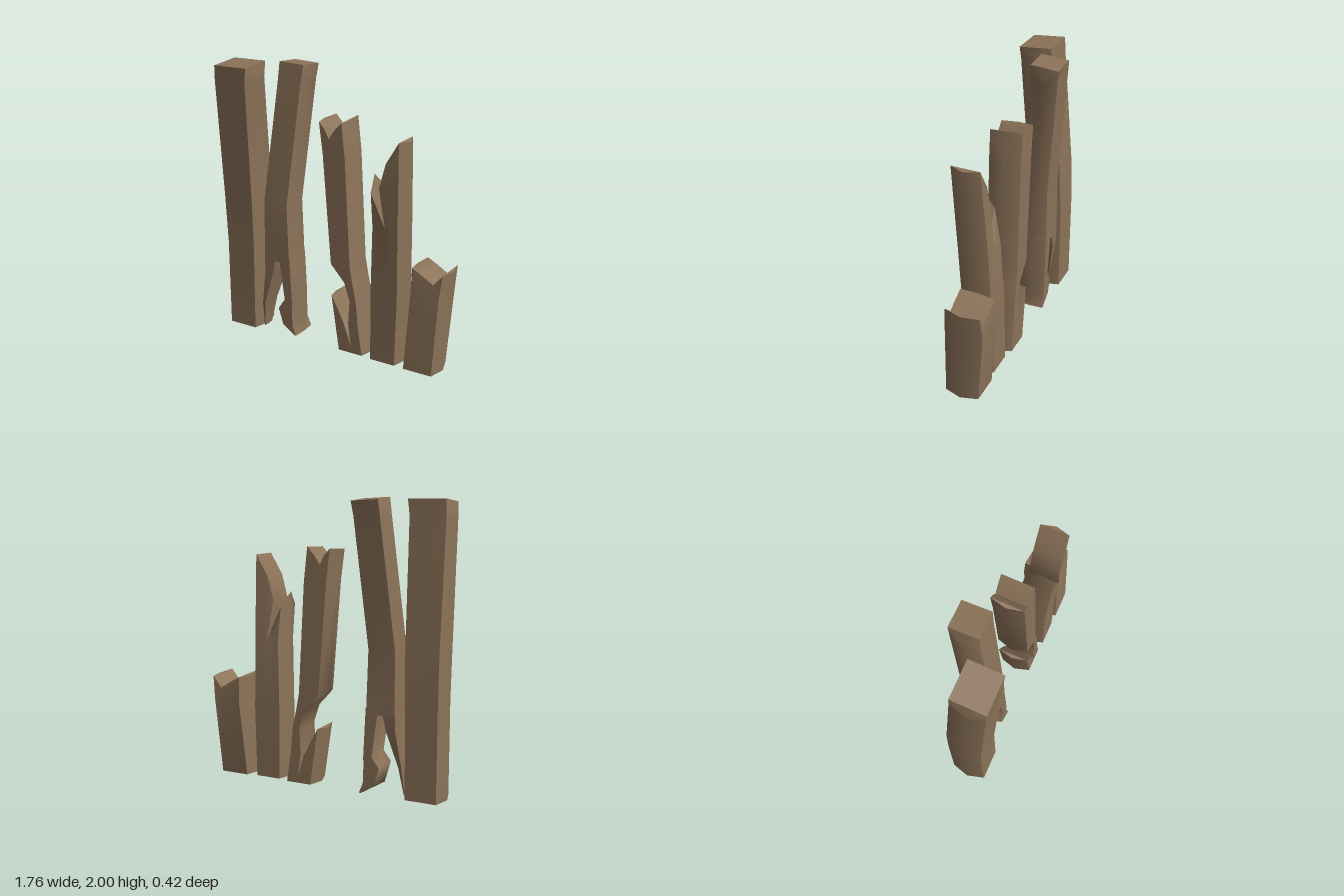
import * as THREE from 'three';
import { toCreasedNormals } from 'three/addons/utils/BufferGeometryUtils.js';

const wood = new THREE.MeshStandardMaterial({ color: 0x8c7359 });
wood.name = 'weathered wood';

// Lofts a bevelled post. rows: [y, xLeft, xRight, zFront, zBack] from bottom up.
// top: zFront, zBack, back rise and a profile of [x, y] from left edge to right edge.
function post(name, rows, top, bevel = 0.035) {
  const n = top.profile.length;
  const levels = rows.map(([y, xl, xr, zf, zb]) => {
    const c = Math.min(bevel, (xr - xl) * 0.25);
    const line = (z) => Array.from({ length: n }, (_, i) => {
      if (i === 0) return [xl, y, (zf + zb) / 2];
      if (i === n - 1) return [xr, y, (zf + zb) / 2];
      return [xl + c + (xr - xl - 2 * c) * (i - 1) / (n - 3), y, z];
    });
    return { front: line(zf), back: line(zb) };
  });
  const topLine = (z, rise) => top.profile.map(([x, y], i) =>
    i === 0 || i === n - 1 ? [x, y, (top.zf + top.zb) / 2] : [x, y + rise, z]);
  levels.push({ front: topLine(top.zf, 0), back: topLine(top.zb, top.rise || 0) });

  const out = [];
  const tri = (a, b, c) => out.push(...a, ...b, ...c);
  // long faces
  for (let r = 0; r < levels.length - 1; r++) {
    const lo = levels[r], hi = levels[r + 1];
    for (let i = 0; i < n - 1; i++) {
      tri(lo.front[i], lo.front[i + 1], hi.front[i]);
      tri(lo.front[i + 1], hi.front[i + 1], hi.front[i]);
      tri(lo.back[i + 1], lo.back[i], hi.back[i]);
      tri(lo.back[i + 1], hi.back[i], hi.back[i + 1]);
    }
  }
  // end grain at both ends
  const first = levels[0], last = levels[levels.length - 1];
  for (let i = 0; i < n - 1; i++) {
    if (i < n - 2) {
      tri(last.front[i], last.front[i + 1], last.back[i + 1]);
      tri(first.front[i + 1], first.front[i], first.back[i + 1]);
    }
    if (i > 0) {
      tri(last.front[i], last.back[i + 1], last.back[i]);
      tri(first.back[i + 1], first.front[i], first.back[i]);
    }
  }
  const g = new THREE.BufferGeometry();
  g.setAttribute('position', new THREE.Float32BufferAttribute(out, 3));
  const mesh = new THREE.Mesh(toCreasedNormals(g, 1.0), wood);
  mesh.name = name;
  return mesh;
}

export function createModel() {
  const fence = new THREE.Group();
  fence.name = 'brokenPalisade';

  // tall intact post leaning forward
  fence.add(post('tallPost', [
    [0, -0.88, -0.59, 0.13, -0.12],
    [0.65, -0.88, -0.583, 0.127, -0.12],
    [1.0, -0.88, -0.575, 0.145, -0.11],
    [1.88, -0.88, -0.56, 0.205, -0.03],
  ], { zf: 0.21, zb: -0.025, rise: 0.02,
    profile: [[-0.88, 1.9], [-0.84, 1.97], [-0.58, 1.97], [-0.56, 1.9]] }));

  // tall post leaning back, with a rotted, split foot
  const split = new THREE.Group();
  split.name = 'splitPost';
  split.add(post('splitPostTrunk', [
    [0.56, -0.58, -0.303, 0.09, -0.12],
    [1.0, -0.575, -0.315, 0.09, -0.115],
    [1.88, -0.495, -0.24, 0.0, -0.2],
  ], { zf: -0.01, zb: -0.21, rise: -0.015,
    profile: [[-0.49, 1.91], [-0.45, 2.0], [-0.26, 1.99], [-0.235, 1.9]] }));
  split.add(post('splitPostLeftSplinter', [
    [0, -0.59, -0.58, 0.06, -0.03],
    [0.2, -0.588, -0.545, 0.09, -0.07],
    [0.45, -0.582, -0.45, 0.09, -0.115],
  ], { zf: 0.09, zb: -0.12,
    profile: [[-0.58, 0.6], [-0.545, 0.6], [-0.45, 0.6], [-0.435, 0.6]] }));
  split.add(post('splitPostRightLeg', [
    [0, -0.31, -0.28, 0.09, -0.12],
    [0.07, -0.435, -0.282, 0.09, -0.12],
    [0.19, -0.47, -0.286, 0.09, -0.12],
    [0.26, -0.41, -0.289, 0.09, -0.12],
  ], { zf: 0.09, zb: -0.12,
    profile: [[-0.44, 0.6], [-0.425, 0.6], [-0.335, 0.6], [-0.304, 0.6]] }));
  fence.add(split);

  // middle post with a deep side notch and a stub below it
  const notched = new THREE.Group();
  notched.name = 'notchedPost';
  notched.add(post('notchedPostTrunk', [
    [0, 0.16, 0.31, 0.11, -0.12],
    [0.22, 0.13, 0.277, 0.11, -0.12],
    [0.4, 0.15, 0.25, 0.11, -0.12],
    [0.53, 0.1, 0.23, 0.11, -0.12],
    [0.65, -0.01, 0.21, 0.11, -0.12],
    [1.43, -0.072, 0.167, 0.11, -0.12],
  ], { zf: 0.11, zb: -0.12, rise: 0.01,
    profile: [[-0.09, 1.65], [-0.065, 1.65], [-0.02, 1.6], [0.01, 1.54],
      [0.05, 1.6], [0.105, 1.66], [0.165, 1.45]] }));
  notched.add(post('notchedPostStub', [
    [0, 0.055, 0.24, 0.11, -0.12],
  ], { zf: 0.11, zb: -0.12,
    profile: [[0.005, 0.4], [0.03, 0.41], [0.08, 0.32], [0.13, 0.22], [0.22, 0.15]] }));
  fence.add(notched);

  // snapped post with two splintered points
  fence.add(post('splinteredPost', [
    [0, 0.315, 0.57, 0.12, -0.1],
    [0.5, 0.31, 0.58, 0.12, -0.1],
    [1.0, 0.328, 0.583, 0.14, -0.08],
  ], { zf: 0.165, zb: -0.04,
    profile: [[0.333, 1.34], [0.36, 1.24], [0.44, 1.07], [0.42, 1.28],
      [0.465, 1.45], [0.555, 1.6], [0.587, 1.59]] }));

  // short broken post
  fence.add(post('shortPost', [
    [0, 0.573, 0.852, 0.125, -0.12],
    [0.55, 0.6, 0.873, 0.1, -0.175],
  ], { zf: 0.085, zb: -0.165, rise: -0.01,
    profile: [[0.613, 0.725], [0.635, 0.74], [0.71, 0.7], [0.79, 0.65],
      [0.855, 0.73], [0.88, 0.72]] }));

  return fence;
}
